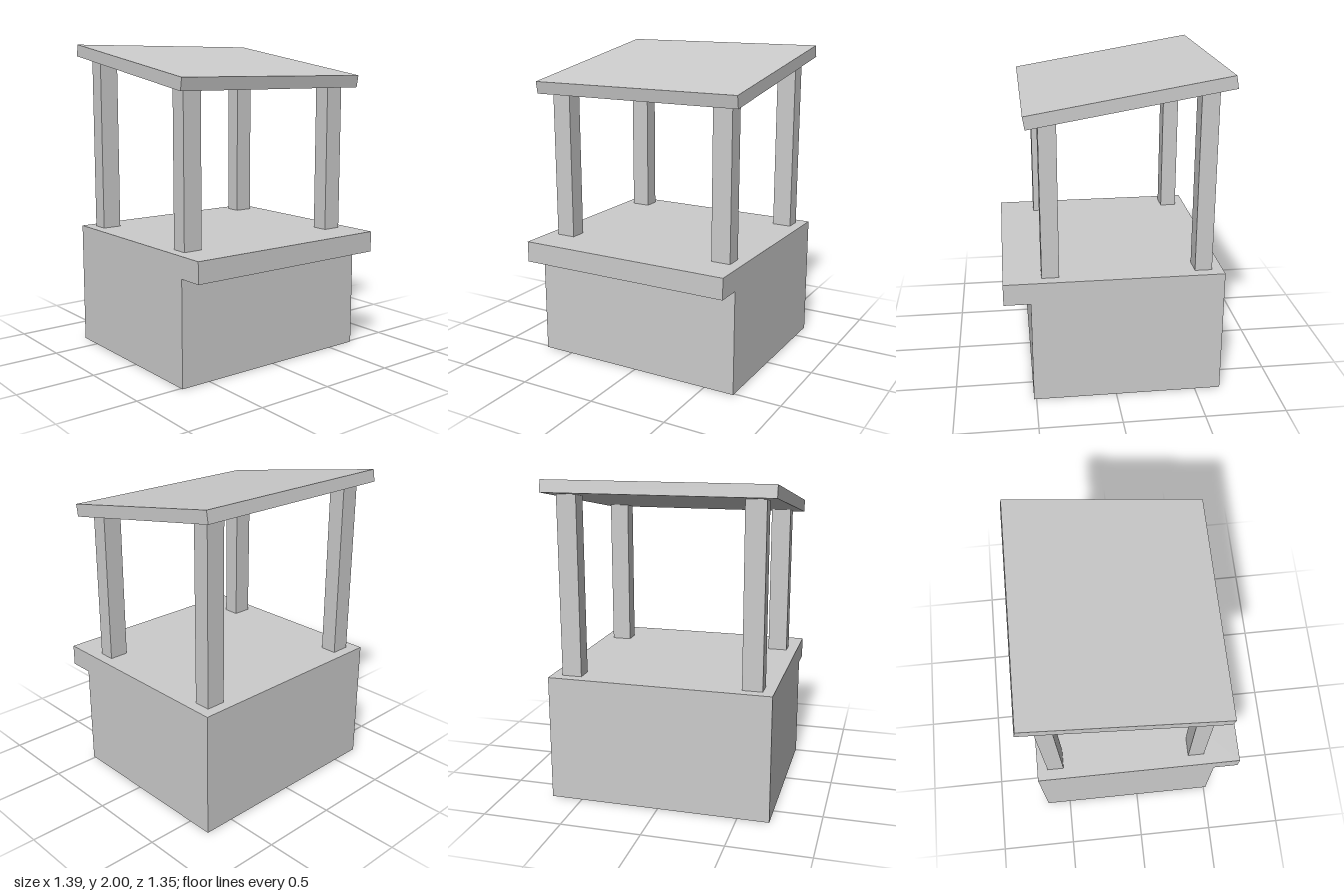
import * as THREE from 'three';

const material = new THREE.MeshStandardMaterial({ color: 0xcccccc, flatShading: true });

// Extrudes a side profile of [z, y] points across the width, centred on x
function sidePart(name, profile, width, x = 0) {
  const shape = new THREE.Shape(profile.map(([z, y]) => new THREE.Vector2(z, y)));
  const geometry = new THREE.ExtrudeGeometry(shape, { depth: width, bevelEnabled: false });
  geometry.translate(0, 0, -width / 2);
  geometry.rotateY(-Math.PI / 2);
  const mesh = new THREE.Mesh(geometry, material);
  mesh.name = name;
  mesh.position.x = x;
  return mesh;
}

export function createModel() {
  const group = new THREE.Group();
  group.name = 'marketStall';

  const width = 1.395;
  const counterTop = 0.793;

  // Solid base with the counter overhanging at the front
  group.add(sidePart('counterBase', [
    [-0.66, 0], [0.515, 0], [0.515, 0.66], [0.677, 0.66], [0.677, counterTop], [-0.66, counterTop],
  ], width));

  // Sloping roof slab, higher at the back
  group.add(sidePart('roof', [
    [-0.675, 1.925], [0.517, 1.725], [0.53, 1.802], [-0.662, 2],
  ], width));

  // Four posts, their tops cut to the slope of the roof underside
  const underside = (z) => 1.725 + (0.517 - z) * (0.2 / 1.192);
  for (const [row, back, front] of [['front', 0.34, 0.445], ['back', -0.592, -0.487]]) {
    for (const [side, sign] of [['Left', 1], ['Right', -1]]) {
      group.add(sidePart(`${row}${side}Post`, [
        [back, counterTop], [front, counterTop], [front, underside(front)], [back, underside(back)],
      ], 0.124, sign * 0.567));
    }
  }

  return group;
}
